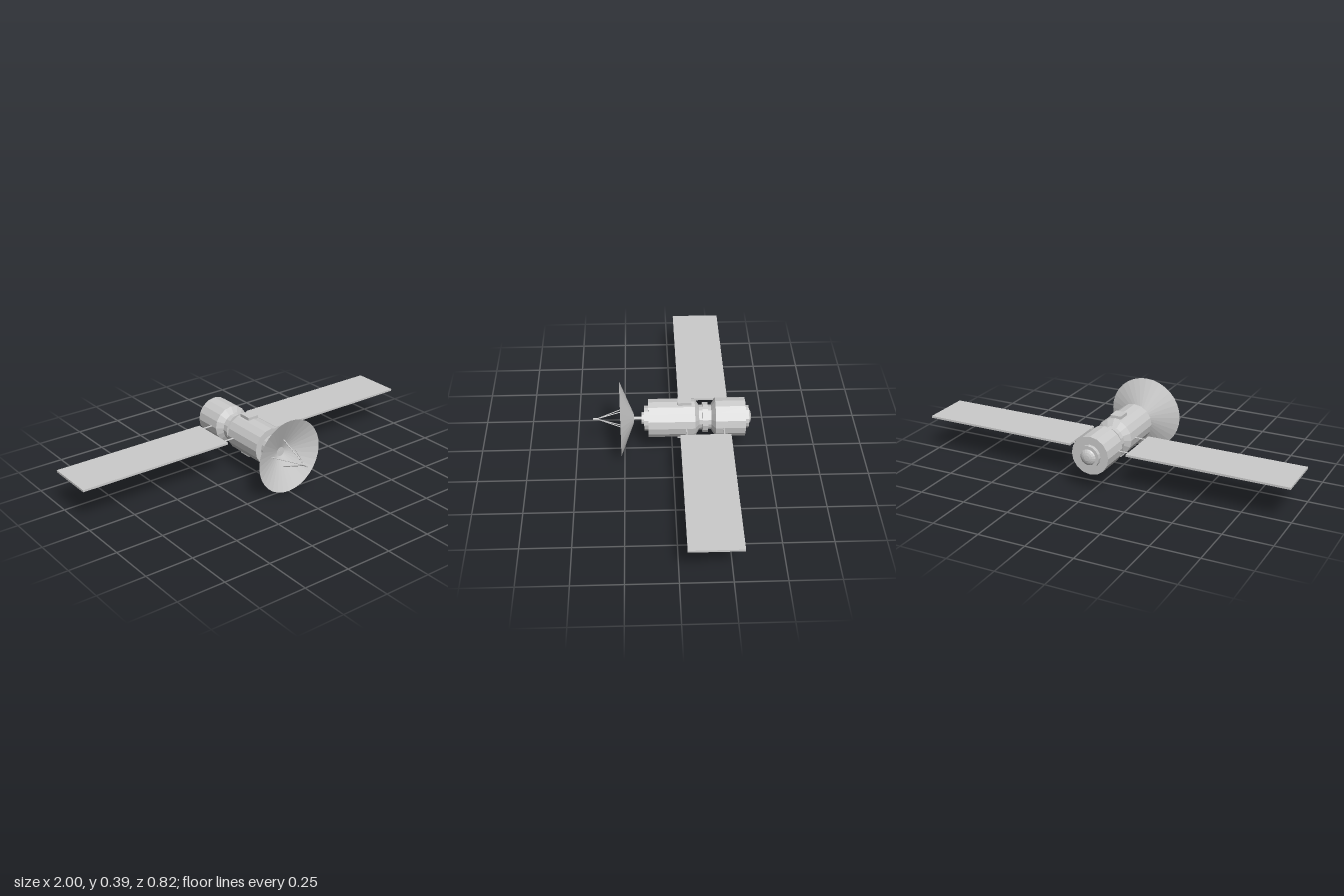
import * as THREE from 'three';

const AXIS_Y = 0.2; // height of the long axis
const flat = new THREE.MeshStandardMaterial({ color: 0xcccccc, flatShading: true });
const thin = new THREE.MeshStandardMaterial({ color: 0xcccccc, flatShading: true, side: THREE.DoubleSide });

export function createModel() {
  const model = new THREE.Group();
  model.name = 'satellite';
  const craft = new THREE.Group();
  craft.name = 'craft';
  craft.position.y = AXIS_Y;
  model.add(craft);

  const add = (name, geometry, material = flat) => {
    const mesh = new THREE.Mesh(geometry, material);
    mesh.name = name;
    craft.add(mesh);
    return mesh;
  };
  // Solid turned around the z axis; profile is [radius, z], back to front
  const turned = (name, profile, sides = 16, material = flat) => {
    const points = profile.map(([r, z]) => new THREE.Vector2(r, z));
    return add(name, new THREE.LatheGeometry(points, sides).rotateX(Math.PI / 2), material);
  };
  // Thin round bar between two points
  const rod = (name, a, b, radius) => {
    const from = new THREE.Vector3(...a), to = new THREE.Vector3(...b);
    const dir = to.clone().sub(from);
    const mesh = add(name, new THREE.CylinderGeometry(radius, radius, dir.length(), 8));
    mesh.position.copy(from).add(to).multiplyScalar(0.5);
    mesh.quaternion.setFromUnitVectors(new THREE.Vector3(0, 1, 0), dir.normalize());
  };

  // Hull: rear module, waist and front module
  turned('hull', [
    [0, -0.375], [0.101, -0.375], [0.101, -0.221], [0.065, -0.2],
    [0.065, -0.137], [0.1, -0.115], [0.1, 0.124], [0, 0.124],
  ]);
  turned('waistRing', [
    [0.06, -0.183], [0.079, -0.183], [0.079, -0.155], [0.06, -0.155],
  ]);

  // Rear collar with a shallow dome
  turned('rearCollar', [[0, -0.395], [0.059, -0.395], [0.059, -0.37]]);
  turned('rearDome', [
    [0, -0.41], [0.015, -0.409], [0.028, -0.405], [0.037, -0.4], [0.043, -0.394],
  ]);

  // Stepped front collar and dish mast
  turned('frontCollar', [
    [0.065, 0.12], [0.065, 0.146], [0.032, 0.146], [0.032, 0.159], [0, 0.159],
  ]);
  turned('dishMast', [[0.008, 0.155], [0.008, 0.2]], 8);

  // Open dish, turned very slightly to one side
  const dish = turned('dish', [[0, 0], [0.024, 0], [0.196, 0.071]], 32, thin);
  dish.position.z = 0.199;
  dish.rotation.y = 0.028;

  // Feed at the focus, carried by four struts
  turned('feed', [[0, 0.388], [0.005, 0.388], [0.005, 0.411], [0, 0.411]], 8);
  for (let i = 0; i < 4; i++) {
    const a = (i * Math.PI) / 2;
    rod('feedStrut', [0.076 * Math.cos(a), 0.076 * Math.sin(a), 0.224], [0, 0, 0.392], 0.0025);
  }

  for (const side of [-1, 1]) {
    // Equipment boxes above and below
    add('equipmentBox', new THREE.BoxGeometry(0.06, 0.016, 0.069)).position.set(0, side * 0.104, -0.062);

    // Solar wing and its two mounting rods
    add('solarPanel', new THREE.BoxGeometry(0.844, 0.011, 0.26)).position.set(side * 0.578, 0, -0.166);
    for (const z of [-0.262, -0.07]) rod('panelMount', [side * 0.09, 0, z], [side * 0.16, 0, z], 0.004);
  }
  return model;
}
